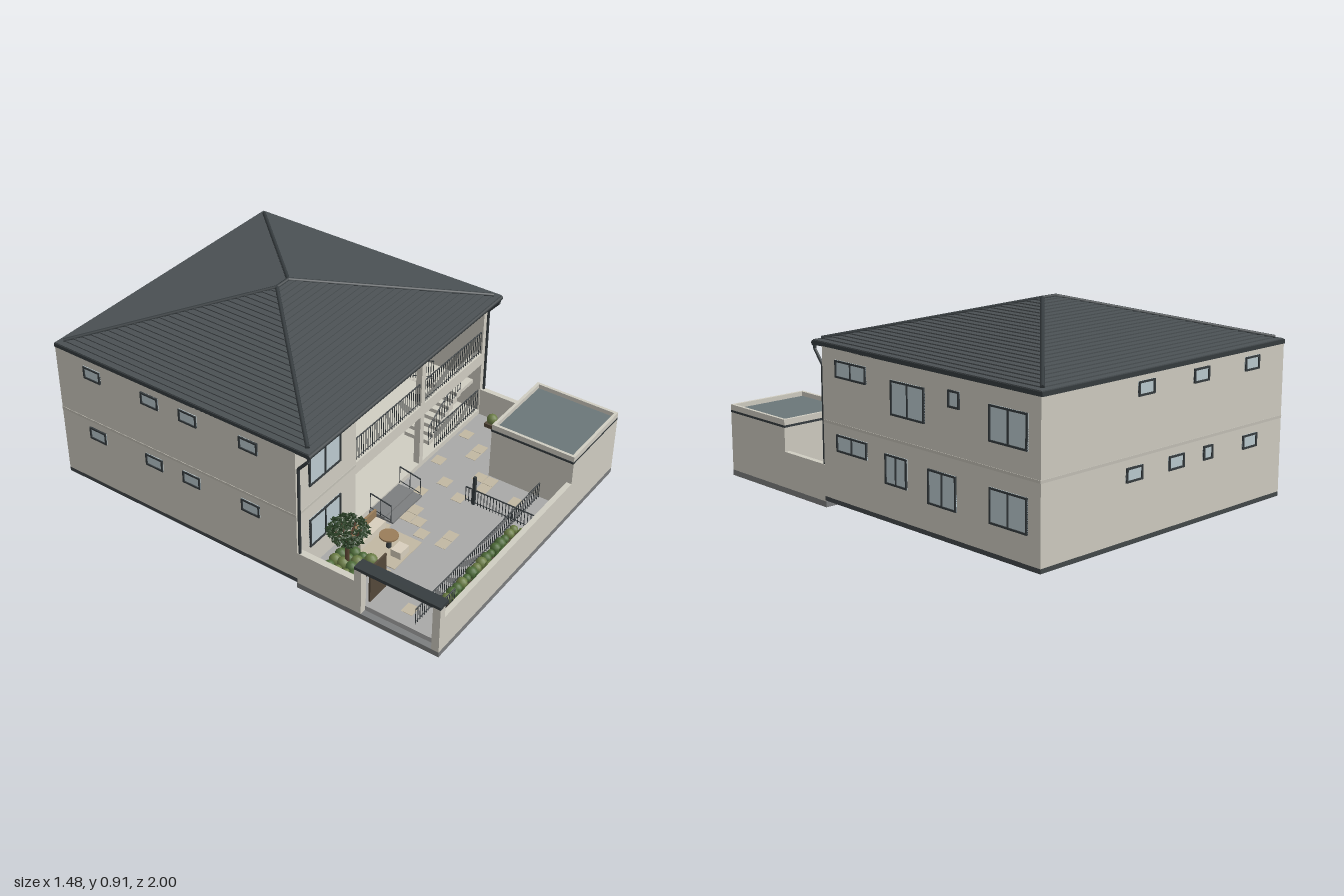
import * as THREE from 'three';
import { mergeGeometries } from 'three/addons/utils/BufferGeometryUtils.js';

const mat = (color, flatShading = false) => {
  const m = new THREE.MeshStandardMaterial({ color });
  m.flatShading = flatShading;
  return m;
};
const M = {
  wall: mat(0xd0cdc2), band: mat(0xc4c1b7), dark: mat(0x363c3f), roof: mat(0x4b5154, true), base: mat(0x7c7e7f),
  under: mat(0x43494b), glass: mat(0xbccbd0), wood: mat(0x9a7d5a), paving: mat(0xa9a9a8), tile: mat(0xc2b8a2),
  cream: mat(0xd8cfbd), garageRoof: mat(0x6b7779), leaf: mat(0x2b4126, true), soil: mat(0x54483a),
  shrubA: mat(0x4d6b38), shrubB: mat(0x6b7d45), bark: mat(0x5b4534),
};
let seed = 7;
const rand = () => (seed = (seed * 16807) % 2147483647) / 2147483647;

export function createModel() {
  const root = new THREE.Group();
  const add = (name, geo, m, parent = root) => {
    const mesh = new THREE.Mesh(geo, m);
    mesh.name = name;
    parent.add(mesh);
    return mesh;
  };
  const boxGeo = (x0, x1, y0, y1, z0, z1) =>
    new THREE.BoxGeometry(x1 - x0, y1 - y0, z1 - z0).translate((x0 + x1) / 2, (y0 + y1) / 2, (z0 + z1) / 2);
  const box = (name, m, x0, x1, y0, y1, z0, z1, parent) => add(name, boxGeo(x0, x1, y0, y1, z0, z1), m, parent);
  // Round bar between two points
  const barGeo = (a, b, r, sides = 6) => {
    const p = new THREE.Vector3(...a), q = new THREE.Vector3(...b), d = q.clone().sub(p);
    const g = new THREE.CylinderGeometry(r, r, d.length(), sides);
    g.applyQuaternion(new THREE.Quaternion().setFromUnitVectors(new THREE.Vector3(0, 1, 0), d.normalize()));
    return g.translate(...p.add(q).multiplyScalar(0.5).toArray());
  };
  // Railing whose feet run from a to b
  const railing = (name, a, b, h, n, r = 0.002) => {
    const up = (p, e) => [p[0], p[1] + e, p[2]];
    const parts = [barGeo(up(a, h), up(b, h), r * 1.6), barGeo(up(a, 0.012), up(b, 0.012), r)];
    for (let i = 0; i <= n; i++) {
      const p = a.map((v, k) => v + (b[k] - v) * i / n);
      parts.push(barGeo(p, up(p, h), r, 4));
    }
    return add(name, mergeGeometries(parts), M.dark);
  };

  // House body with a recessed two-storey porch
  box('houseBase', M.under, -0.73, 0.73, 0.03, 0.05, -0.99, 0.305);
  box('leftWing', M.wall, -0.73, -0.315, 0.05, 0.705, -0.99, 0.305);
  box('rearBlock', M.wall, -0.315, 0.73, 0.05, 0.705, -0.99, -0.03);
  box('porchSideWall', M.wall, 0.7, 0.73, 0.05, 0.705, -0.03, 0.305);
  box('porchFloor', M.wall, -0.315, 0.7, 0.05, 0.075, -0.03, 0.305);
  box('balconyFloor', M.wall, -0.315, 0.33, 0.335, 0.395, -0.03, 0.305);
  box('balconyEdge', M.wall, 0.33, 0.7, 0.335, 0.395, 0.27, 0.305);
  box('porchCeiling', M.wall, -0.315, 0.7, 0.66, 0.705, -0.03, 0.305);
  box('porchPillar', M.wall, 0.185, 0.215, 0.075, 0.66, 0.275, 0.305);
  box('storeyBandSide', M.band, 0.73, 0.732, 0.378, 0.39, -0.99, 0.305);
  box('storeyBandSide', M.band, -0.732, -0.73, 0.378, 0.39, -0.99, 0.305);
  box('storeyBandBack', M.band, -0.73, 0.73, 0.378, 0.39, -0.992, -0.99);
  box('storeyBandFront', M.band, -0.73, -0.315, 0.378, 0.39, 0.305, 0.307);

  // Windows, built facing +z and then turned
  const windowUnit = (x, y, z, turn, w, h, mullion = true) => {
    const g = new THREE.Group();
    g.name = 'window';
    const a = w / 2, b = h / 2, f = 0.008;
    box('pane', M.glass, -a, a, -b, b, -0.002, 0.003, g);
    const bars = [[-a, -a + f, -b, b], [a - f, a, -b, b], [-a, a, -b, -b + f], [-a, a, b - f, b]];
    if (mullion) bars.push([-0.003, 0.003, -b, b]);
    add('frame', mergeGeometries(bars.map((r) => boxGeo(...r, -0.002, 0.008))), M.dark, g);
    g.position.set(x, y, z);
    g.rotation.y = turn;
    root.add(g);
  };
  const right = [[0.112, 0.623, 0.2, 0.075], [-0.248, 0.56, 0.205, 0.145], [-0.522, 0.615, 0.065, 0.07], [-0.822, 0.56, 0.205, 0.145],
    [0.112, 0.304, 0.2, 0.075], [-0.172, 0.257, 0.135, 0.128], [-0.45, 0.238, 0.166, 0.145], [-0.822, 0.238, 0.205, 0.145]];
  right.forEach(([z, y, w, h]) => windowUnit(0.73, y, z, Math.PI / 2, w, h, w > 0.1));
  for (const z of [-0.78, -0.455, -0.247, 0.07])
    for (const y of [0.64, 0.318]) windowUnit(-0.73, y, z, -Math.PI / 2, 0.095, 0.06, false);
  [[0.155, 0.65], [-0.18, 0.65], [-0.51, 0.65], [0.217, 0.316], [-0.035, 0.316], [-0.234, 0.318, 0.06], [-0.51, 0.316]]
    .forEach(([x, y, w = 0.095]) => windowUnit(x, y, -0.99, Math.PI, w, 0.06, false));

  // Per storey: front windows, double door, lamp
  for (const y of [0.075, 0.395]) {
    windowUnit(-0.537, y + 0.162, 0.305, 0, 0.218, 0.147);
    windowUnit(-0.245, y + 0.17, -0.03, 0, 0.11, 0.165, false);
    windowUnit(0.132, y + 0.17, -0.03, 0, 0.11, 0.165, false);
    box('doorFrame', M.dark, -0.153, 0.042, y, y + 0.215, -0.03, -0.024);
    for (const s of [-1, 1]) {
      box('doorLeaf', M.wood, s < 0 ? -0.143 : -0.049, s < 0 ? -0.062 : 0.032, y + 0.003, y + 0.205, -0.025, -0.019);
      box('doorHandle', M.dark, -0.0555 + s * 0.012 - 0.002, -0.0555 + s * 0.012 + 0.002, y + 0.08, y + 0.12, -0.02, -0.013);
    }
    box('doorLamp', M.dark, -0.075, -0.037, y + 0.238, y + 0.248, -0.03, -0.012);
  }
  railing('balconyRailing', [-0.31, 0.395, 0.295], [0.185, 0.395, 0.295], 0.115, 30);
  railing('balconyRailing', [0.215, 0.395, 0.295], [0.7, 0.395, 0.295], 0.115, 30);
  railing('porchRailing', [0.33, 0.075, 0.295], [0.7, 0.075, 0.295], 0.11, 22);

  // Stairs: two flights with a landing
  for (let i = 0; i < 8; i++) {
    const x = 0.33 + i * 0.033, y = 0.075 + (i + 1) * 0.02, y2 = 0.395 - i * 0.02;
    box('lowerStep', M.wall, x, x + 0.033, y - 0.03, y, 0.13, 0.265);
    box('upperStep', M.wall, x, x + 0.033, y2 - 0.04, y2 - 0.02, -0.03, 0.11);
  }
  box('stairLanding', M.wall, 0.594, 0.7, 0.215, 0.235, -0.03, 0.265);
  railing('upperStairRail', [0.33, 0.395, 0.11], [0.594, 0.235, 0.11], 0.1, 12);
  railing('lowerStairRail', [0.33, 0.075, 0.26], [0.594, 0.235, 0.26], 0.1, 12);

  // Hipped roof: overlapping tile courses
  const pos = [], courses = 26, zc = -0.31;
  const ring = (t, lift) => {
    const a = 0.727 + (0.04 - 0.727) * t, d = 0.68 * (1 - t), y = 0.72 + 0.183 * t + lift;
    return [[-a, y, zc + d], [a, y, zc + d], [a, y, zc - d], [-a, y, zc - d]];
  };
  const stitch = (p, q) => {
    for (let k = 0; k < 4; k++) {
      const n = (k + 1) % 4;
      pos.push(...p[k], ...p[n], ...q[n], ...p[k], ...q[n], ...q[k]);
    }
  };
  for (let i = 0; i < courses; i++) {
    const lower = ring(i / courses, 0.005);
    stitch(ring(i / courses, 0), lower);
    stitch(lower, ring((i + 1) / courses, 0));
  }
  const roofGeo = new THREE.BufferGeometry();
  roofGeo.setAttribute('position', new THREE.Float32BufferAttribute(pos, 3));
  roofGeo.computeVertexNormals();
  add('tiledRoof', roofGeo, M.roof);
  box('eaves', M.dark, -0.73, 0.73, 0.703, 0.721, -0.995, 0.37);
  for (const sx of [-1, 1]) {
    for (const sz of [-1, 1])
      add('hipCap', barGeo([sx * 0.7, 0.73, zc + sz * 0.655], [sx * 0.04, 0.904, zc], 0.009, 8), M.dark);
    // Downpipe with swan neck
    add('downpipe', mergeGeometries([barGeo([sx * 0.722, 0.705, 0.365], [sx * 0.722, 0.685, 0.365], 0.007),
      barGeo([sx * 0.722, 0.685, 0.365], [sx * 0.722, 0.625, 0.314], 0.007),
      barGeo([sx * 0.722, 0.625, 0.314], [sx * 0.722, 0.06, 0.314], 0.007)]), M.dark);
  }
  add('ridgeCap', barGeo([-0.045, 0.904, zc], [0.045, 0.904, zc], 0.009, 8), M.dark);
  add('gutter', barGeo([-0.73, 0.71, 0.368], [0.73, 0.71, 0.368], 0.011, 8), M.dark);

  // Yard ground and scattered paving slabs
  box('yardBase', M.base, -0.73, 0.73, 0, 0.026, 0.3, 1);
  box('yardUnderside', M.under, -0.728, 0.728, -0.0005, 0.001, 0.302, 0.998);
  box('yardPaving', M.paving, -0.7, 0.71, 0.026, 0.05, 0.305, 0.98);
  for (let i = 0; i < 34; i++) {
    const x = -0.64 + Math.floor(rand() * 22) * 0.06, z = 0.32 + Math.floor(rand() * 9) * 0.055;
    if (z < 0.54 || x < 0.26) box('pavingSlab', M.tile, x, x + 0.058, 0.05, 0.0512 + i * 2e-5, z, z + 0.053);
  }

  // Boundary walls
  box('frontWall', M.wall, -0.73, 0.33, 0.026, 0.19, 0.975, 1);
  box('rightWall', M.wall, 0.705, 0.73, 0.026, 0.19, 0.305, 0.59);
  box('leftWall', M.wall, -0.73, -0.7, 0.026, 0.19, 0.305, 0.59);

  // Garage with parapet roof
  box('garage', M.wall, 0.325, 0.73, 0.026, 0.3, 0.59, 1);
  box('garageTrim', M.dark, 0.322, 0.731, 0.299, 0.309, 0.588, 1);
  box('garageRoof', M.garageRoof, 0.33, 0.72, 0.309, 0.314, 0.6, 0.99);
  box('parapet', M.wall, 0.325, 0.73, 0.309, 0.335, 0.986, 1);
  box('parapet', M.wall, 0.325, 0.73, 0.309, 0.335, 0.59, 0.604);
  for (const x of [0.325, 0.716]) box('parapet', M.wall, x, x + 0.014, 0.309, 0.335, 0.59, 1);

  // Side gate with canopy and two open leaves
  for (const z of [0.59, 0.965]) box('gatePost', M.wall, -0.73, -0.695, 0.026, 0.25, z, z + 0.035);
  box('gateCanopy', M.dark, -0.73, -0.67, 0.248, 0.264, 0.59, 1);
  box('gateLeaf', M.soil, -0.675, -0.56, 0.055, 0.235, 0.625, 0.633);
  railing('gateLeafBars', [-0.695, 0.055, 0.96], [-0.56, 0.055, 0.96], 0.163, 10);

  // Low garden fences
  railing('gardenFence', [-0.67, 0.05, 0.85], [0.32, 0.05, 0.85], 0.08, 60);
  railing('drivewayFence', [0.11, 0.05, 0.6], [0.11, 0.05, 0.975], 0.08, 24);
  box('fencePost', M.dark, 0.105, 0.118, 0.05, 0.2, 0.635, 0.648);

  // Planted beds
  const bed = (x0, x1, z0, z1, nx, nz, r) => {
    box('plantBed', M.soil, x0, x1, 0.05, 0.07, z0, z1);
    for (let i = 0; i < nx; i++) for (let j = 0; j < nz; j++) {
      const s = r * (0.8 + rand() * 0.35);
      add('shrub', new THREE.SphereGeometry(s, 10, 7), rand() < 0.5 ? M.shrubA : M.shrubB)
        .position.set(x0 + (i + 0.5) * (x1 - x0) / nx, 0.07 + s * 0.6, z0 + (j + 0.5) * (z1 - z0) / nz);
    }
  };
  bed(-0.52, 0.05, 0.87, 0.955, 15, 2, 0.023);
  bed(-0.68, -0.47, 0.365, 0.53, 5, 4, 0.025);
  bed(0.63, 0.69, 0.38, 0.43, 1, 1, 0.026);

  // Tree: forked trunk and a crown of small leaves
  const trunk = [barGeo([-0.565, 0.06, 0.44], [-0.565, 0.2, 0.44], 0.01)];
  for (let i = 0; i < 6; i++)
    trunk.push(barGeo([-0.565, 0.18, 0.44], [-0.565 + Math.cos(i * 1.05) * 0.06, 0.27, 0.44 + Math.sin(i * 1.05) * 0.06], 0.005, 5));
  add('treeTrunk', mergeGeometries(trunk), M.bark);
  const leaves = [];
  for (let i = 0; i < 330; i++) {
    const a = rand() * 6.283, v = rand() * 2 - 1, r = Math.cbrt(0.25 + 0.75 * rand()), c = Math.sqrt(1 - v * v) * r;
    leaves.push(new THREE.OctahedronGeometry(0.013).scale(1, 0.4, 0.7).rotateX(rand() * 3).rotateY(rand() * 6)
      .translate(-0.565 + Math.cos(a) * c * 0.092, 0.267 + v * r * 0.052, 0.445 + Math.sin(a) * c * 0.09));
  }
  add('treeCrown', mergeGeometries(leaves), M.leaf);

  // Round table, bench and stool
  box('patioRug', M.tile, -0.45, -0.24, 0.05, 0.053, 0.37, 0.6);
  add('tableTop', new THREE.CylinderGeometry(0.042, 0.042, 0.008, 24), M.wood).position.set(-0.345, 0.115, 0.5);
  add('tableLeg', new THREE.CylinderGeometry(0.008, 0.012, 0.06, 10), M.dark).position.set(-0.345, 0.082, 0.5);
  box('benchSeat', M.cream, -0.44, -0.25, 0.055, 0.09, 0.37, 0.42);
  box('benchBack', M.wood, -0.44, -0.25, 0.055, 0.13, 0.36, 0.37);
  box('stool', M.cream, -0.39, -0.325, 0.055, 0.09, 0.54, 0.59);

  // Porch steps with handrails
  for (let i = 0; i < 2; i++) box('porchStep', M.base, -0.21, 0.02, 0.05, 0.059 + i * 0.008, 0.305, 0.43 - i * 0.045);
  for (const x of [-0.21, 0.02]) railing('stepHandrail', [x, 0.075, 0.31], [x, 0.055, 0.42], 0.09, 2);
  return root;
}
